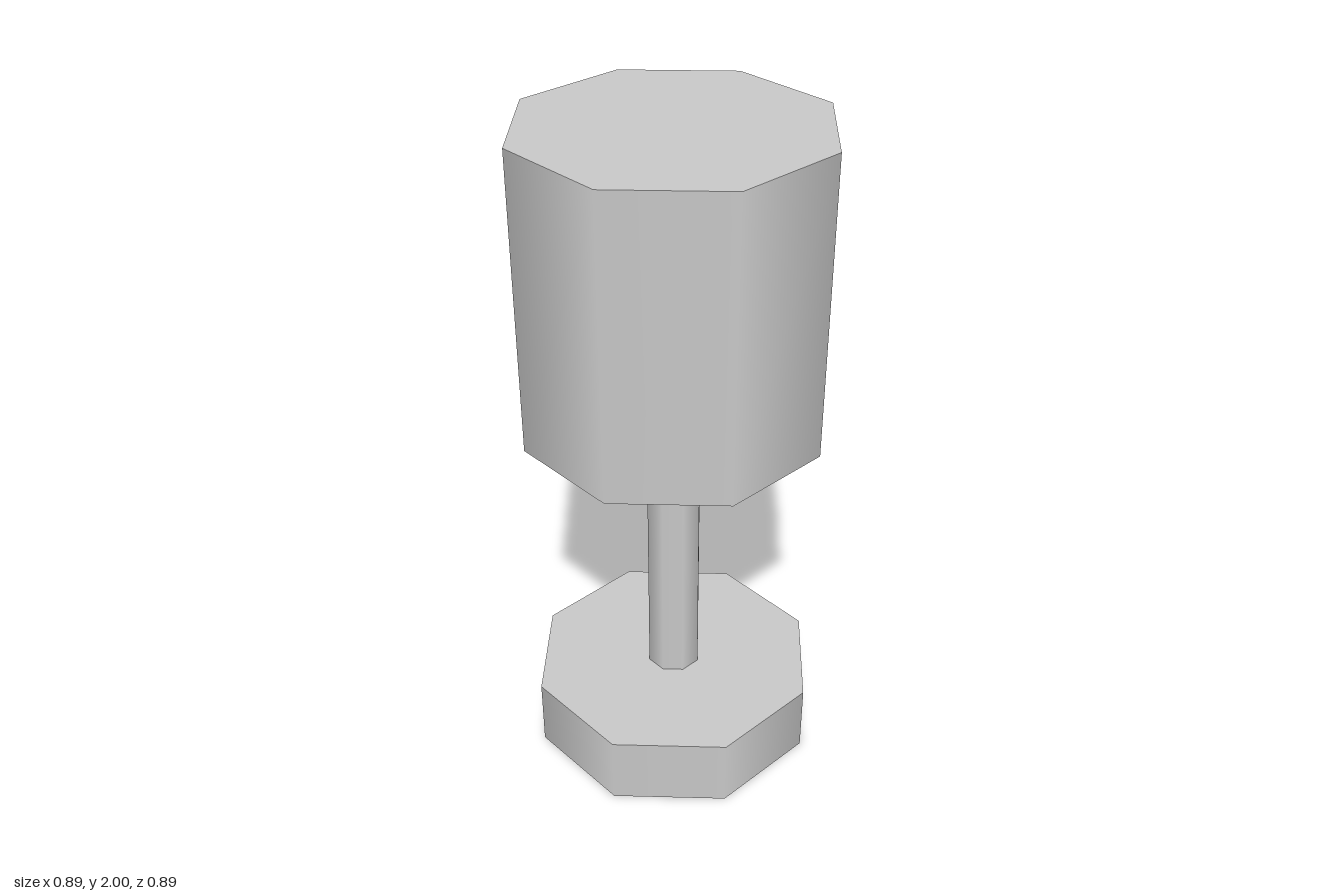
import * as THREE from 'three';

const SIDES = 8;

export function createModel() {
  const group = new THREE.Group();
  const material = new THREE.MeshStandardMaterial({ color: 0xcccccc });

  // Eight-sided, smooth-shaded drum between two heights
  function addDrum(name, radius, bottom, top) {
    const geometry = new THREE.CylinderGeometry(radius, radius, top - bottom, SIDES);
    const mesh = new THREE.Mesh(geometry, material);
    mesh.name = name;
    mesh.position.y = (bottom + top) / 2;
    group.add(mesh);
  }

  addDrum('base', 0.444, 0, 0.222);
  addDrum('stem', 0.083, 0.222, 1.115);
  addDrum('shade', 0.444, 1.115, 2);

  return group;
}
